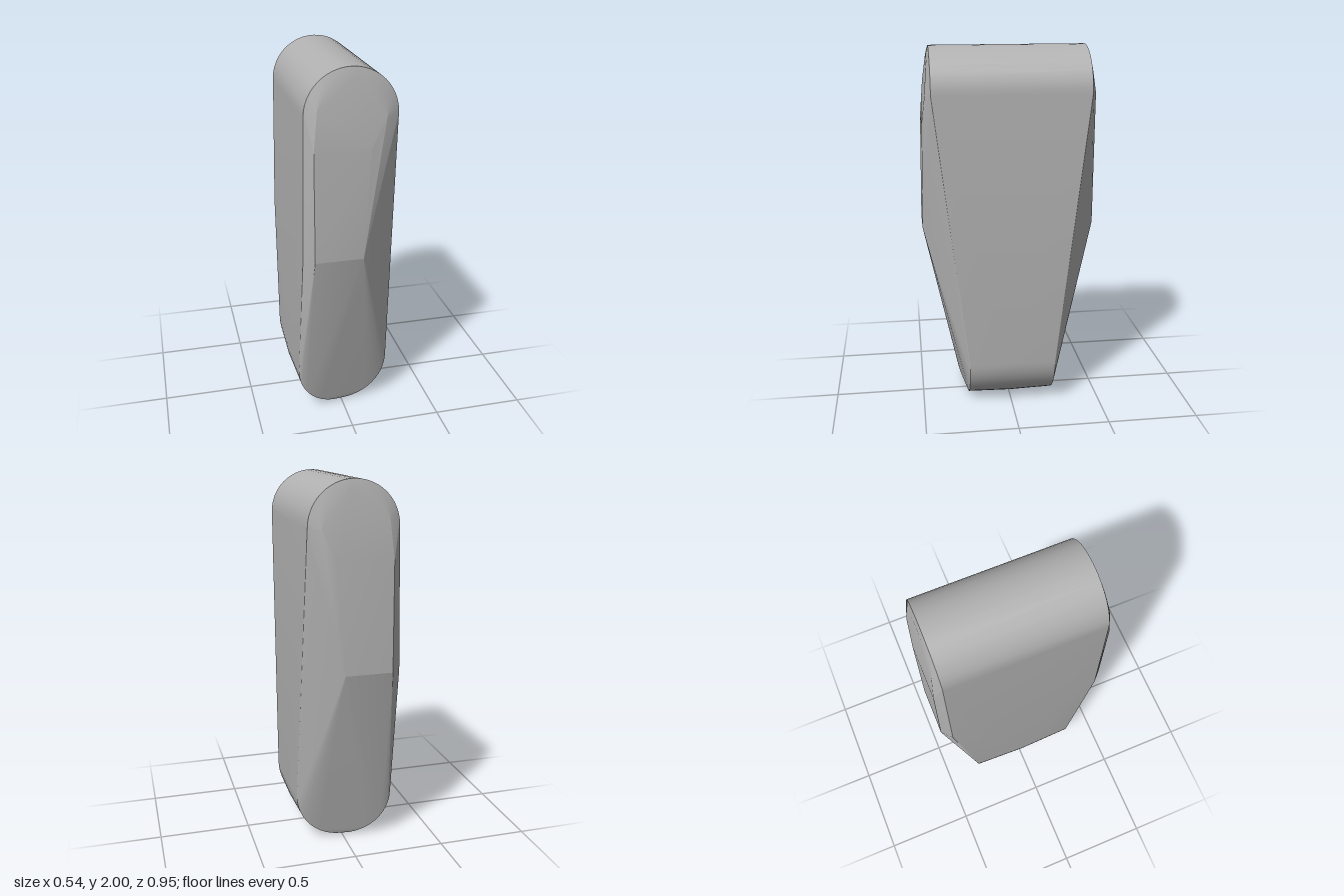
import * as THREE from 'three';
import { ConvexGeometry } from 'three/addons/geometries/ConvexGeometry.js';
import { toCreasedNormals } from 'three/addons/utils/BufferGeometryUtils.js';

export function createModel() {
  const group = new THREE.Group();
  const stoneGrey = new THREE.MeshStandardMaterial({ color: 0xb2b2b2 });
  const points = [];
  const add = (x, y, z) => points.push(new THREE.Vector3(x, y, z));
  // Adds a point on both the front and the back end
  const addPair = (x, y, z) => { add(x, y, z); add(x, y, -z); };

  const steps = 24;
  for (let i = 0; i <= steps; i++) {
    const a = (Math.PI * i) / steps;
    const c = Math.cos(a), s = Math.sin(a);

    // Rounded top, with a narrow softened rim at each end
    addPair(0.238 * c - 0.003, 1.765 + 0.235 * s, 0.418);
    addPair(0.215 * c - 0.008, 1.75 + 0.205 * s, 0.43);

    // Rounded foot: shorter on the +x side, slightly swollen at mid-depth
    addPair(0.262 * c, 0.27 - 0.264 * s, 0.24 + 0.065 * Math.max(0, -c));
    add(0.27 * c - 0.002, 0.27 - 0.27 * s, 0);
  }

  // Ridge across each end and the shoulders above it
  addPair(-0.2, 1.02, 0.475);
  addPair(0.055, 1.02, 0.475);
  addPair(-0.253, 1.02, 0.425);
  addPair(-0.2, 1.6, 0.464);
  addPair(0.09, 1.6, 0.464);
  addPair(0.17, 1.76, 0.447);
  addPair(-0.18, 1.8, 0.447);

  const geometry = toCreasedNormals(new ConvexGeometry(points), 0.2);
  const body = new THREE.Mesh(geometry, stoneGrey);
  body.name = 'taperedBody';
  group.add(body);
  return group;
}
